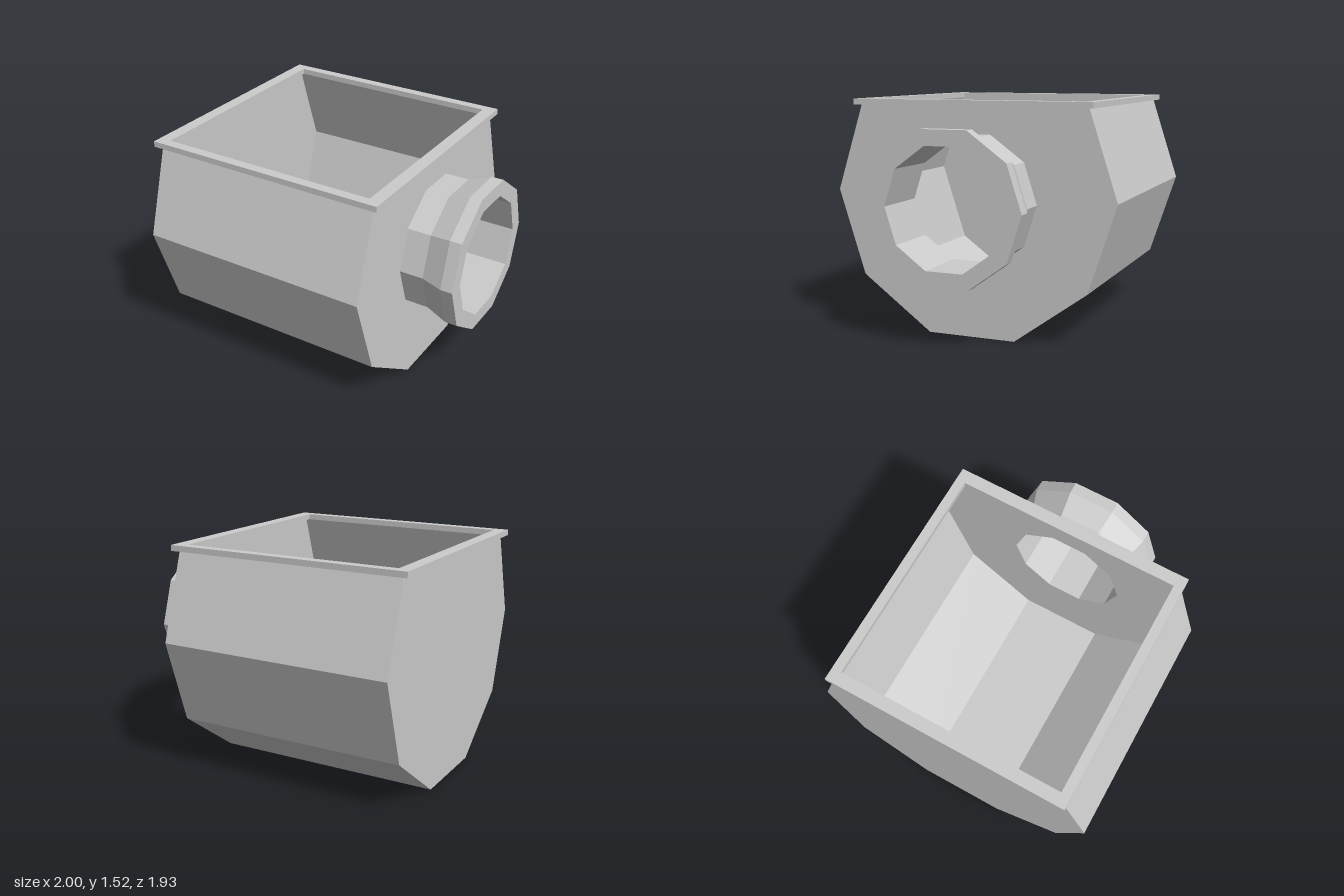
import * as THREE from 'three';

const material = new THREE.MeshStandardMaterial({
  color: 0xcccccc, flatShading: true, side: THREE.DoubleSide,
});

const BODY_R = 0.965, BODY_Y = 0.92;
const NECK_R = 0.4, NECK_Y = 0.885;
const X0 = -0.96, X1 = 0.61;
const STEP = Math.PI / 5; // both the body and the neck are ten-sided

function addMesh(group, name, geometry) {
  const mesh = new THREE.Mesh(geometry, material);
  mesh.name = name;
  group.add(mesh);
  return mesh;
}

// Corners of a decagon, starting at angle `from`
function corners(radius, y, from, count) {
  return Array.from({ length: count }, (_, i) => new THREE.Vector2(
    radius * Math.cos(from + i * STEP), y + radius * Math.sin(from + i * STEP)));
}

function rectangle(x0, x1, z) {
  return [[x0, -z], [x1, -z], [x1, z], [x0, z]].map(p => new THREE.Vector2(...p));
}

export function createModel() {
  const group = new THREE.Group();
  group.name = 'hopper';

  // Seven-facet trough wall, open at the top
  const trough = new THREE.CylinderGeometry(BODY_R, BODY_R, X1 - X0, 7, 1, true, -STEP, 7 * STEP);
  trough.rotateZ(-Math.PI / 2).translate((X0 + X1) / 2, BODY_Y, 0);
  addMesh(group, 'troughWall', trough);

  // Flat end walls, the left one pierced by the neck bore
  for (const [name, x, pierced] of [['rightEndWall', X0, false], ['leftEndWall', X1, true]]) {
    const shape = new THREE.Shape(corners(BODY_R, BODY_Y, 4 * STEP, 8));
    if (pierced) shape.holes.push(new THREE.Path(corners(NECK_R, NECK_Y, 0, 10)));
    const wall = new THREE.ShapeGeometry(shape);
    wall.rotateY(Math.sign(x) * Math.PI / 2).translate(x, 0, 0);
    addMesh(group, name, wall);
  }

  // Overhanging rectangular rim
  const rimShape = new THREE.Shape(rectangle(-1, 0.65, 0.817));
  rimShape.holes.push(new THREE.Path(rectangle(-0.917, 0.565, 0.753)));
  const rim = new THREE.ExtrudeGeometry(rimShape, { depth: 0.038, bevelEnabled: false });
  rim.rotateX(-Math.PI / 2).translate(0, 1.488, 0);
  addMesh(group, 'rim', rim);

  // Flared neck with a straight bore
  const profile = [
    [NECK_R, 0.61], [0.45, 0.61], [0.45, 0.77], [0.505, 0.92],
    [0.505, 1], [NECK_R, 1], [NECK_R, 0.61],
  ].map(p => new THREE.Vector2(...p));
  const neck = new THREE.LatheGeometry(profile, 10);
  neck.rotateZ(-Math.PI / 2).translate(0, NECK_Y, 0);
  addMesh(group, 'neck', neck);

  return group;
}
